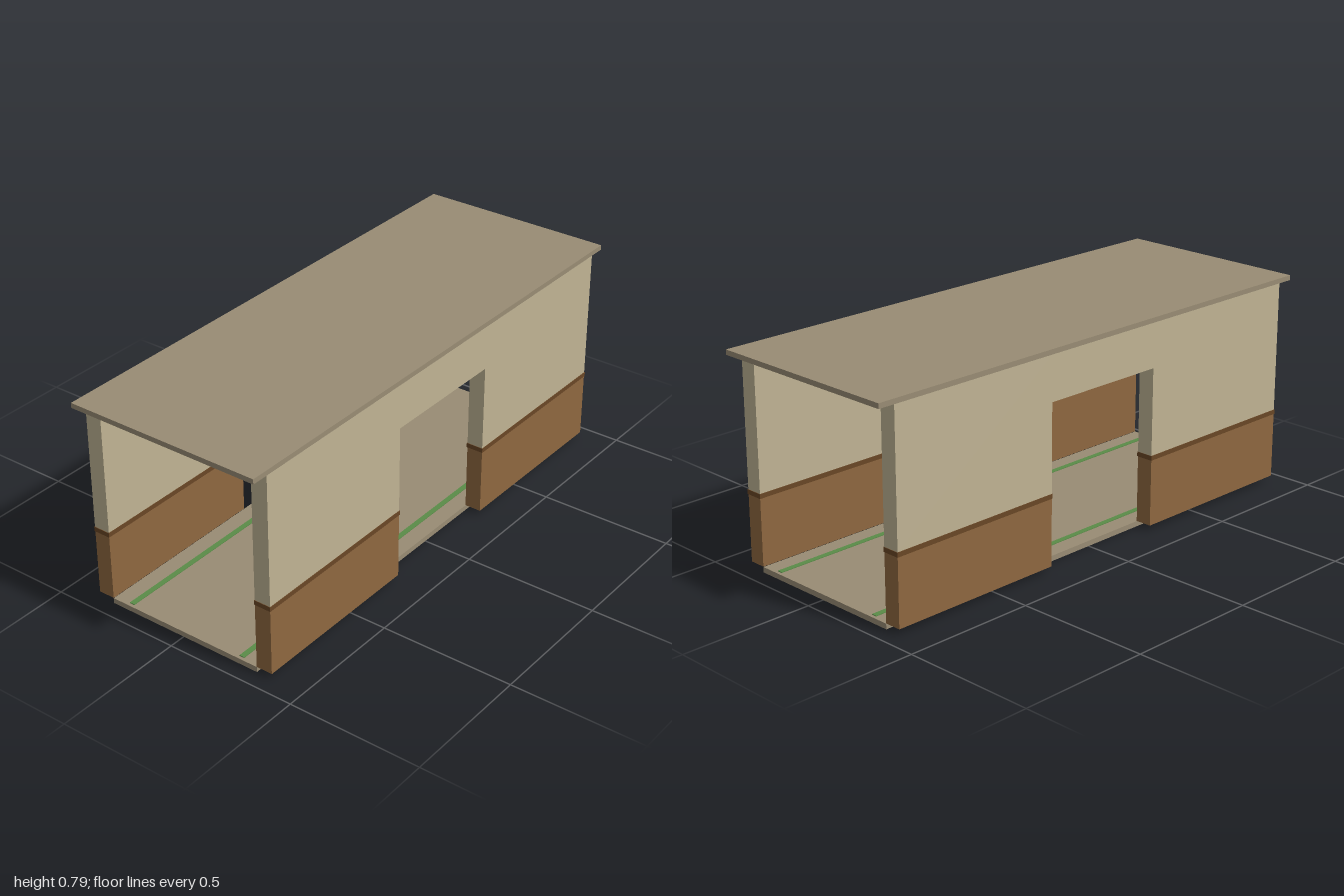
import * as THREE from 'three';

const material = (name, color) => {
  const m = new THREE.MeshStandardMaterial({ color });
  m.name = name;
  return m;
};

export function createModel() {
  const stone = material('taupe stone', 0x998c74);
  const plaster = material('cream plaster', 0xc0b494);
  const wood = material('brown wood', 0x8f6840);
  const darkWood = material('dark wood', 0x6a4726);
  const green = material('green inlay', 0x5a8c48);
  const metal = material('dark metal', 0x2c3842);
  const glass = material('pale lamp panel', 0xb8b498);

  const model = new THREE.Group();
  model.name = 'corridor';

  // Box given by its lower and upper corners
  const block = (name, mat, [x0, y0, z0], [x1, y1, z1], parent = model) => {
    const mesh = new THREE.Mesh(new THREE.BoxGeometry(x1 - x0, y1 - y0, z1 - z0), mat);
    mesh.position.set((x0 + x1) / 2, (y0 + y1) / 2, (z0 + z1) / 2);
    mesh.name = name;
    parent.add(mesh);
  };

  // Floor and roof slabs
  block('floor', stone, [-0.3125, 0, -0.9375], [0.3125, 0.02, 0.9375]);
  block('roof', stone, [-0.375, 0.7725, -1], [0.375, 0.791, 1]);

  for (const side of [-1, 1]) {
    const wall = new THREE.Group();
    wall.name = side > 0 ? 'leftWall' : 'rightWall';
    model.add(wall);
    const xIn = side > 0 ? 0.3125 : -0.375;
    const xOut = xIn + 0.0625;

    // Wall halves on both ends of the doorway
    for (const end of [-1, 1]) {
      const z0 = end > 0 ? 0.25 : -0.9375;
      const z1 = z0 + 0.6875;
      block('wainscot', wood, [xIn, 0.021, z0], [xOut, 0.268, z1], wall);
      block('chairRail', darkWood, [xIn - 0.002, 0.268, z0 - 0.002], [xOut + 0.002, 0.285, z1 + 0.002], wall);
      block('upperWall', plaster, [xIn, 0.285, z0], [xOut, 0.7725, z1], wall);
    }
    block('lintel', plaster, [xIn, 0.608, -0.25], [xOut, 0.7725, 0.25], wall);

    // Floor guide stripe
    const x = side * 0.24;
    block('floorStripe', green, [x - 0.01, 0.02, -0.925], [x + 0.01, 0.0225, 0.925]);
  }

  // Ceiling lamps
  for (const z of [-0.625, 0, 0.625]) {
    const lamp = new THREE.Group();
    lamp.name = 'ceilingLamp';
    model.add(lamp);
    block('lampFrame', metal, [-0.104, 0.76, z - 0.104], [0.104, 0.7725, z + 0.104], lamp);
    block('lampPanel', glass, [-0.0885, 0.756, z - 0.0885], [0.0885, 0.76, z + 0.0885], lamp);
  }
  return model;
}
